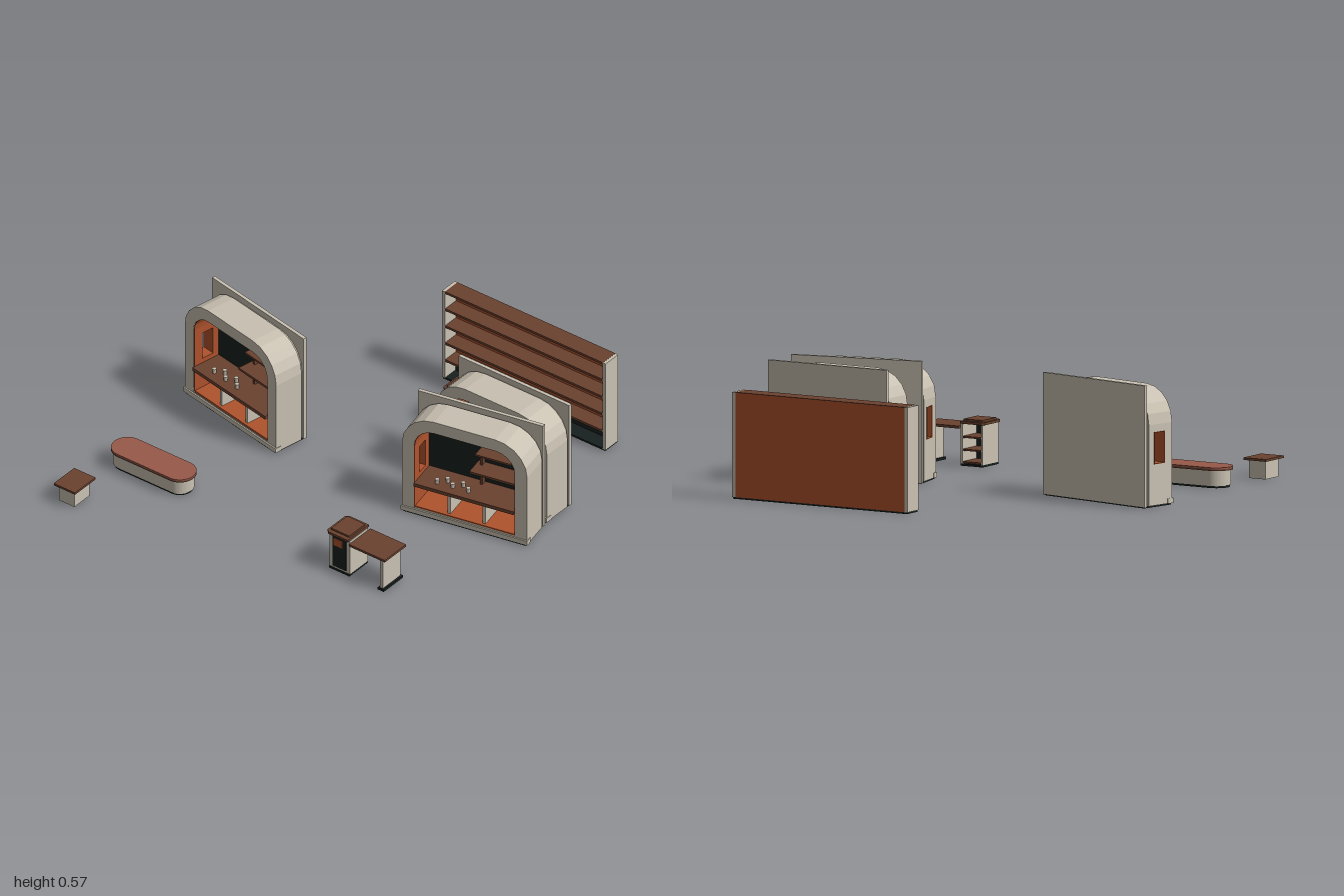
import * as THREE from 'three';

const mat = (name, color, extra = {}) => Object.assign(new THREE.MeshStandardMaterial({ color, ...extra }), { name });

export function createModel() {
  const stone = mat('stone', 0xc9c1b2);
  const brown = mat('brown wood', 0x6b4230);
  const orange = mat('orange lining', 0xb0532d);
  const dark = mat('dark base', 0x18211f);
  const clay = mat('clay top', 0x985a4b);

  const root = new THREE.Group();
  root.name = 'shopFurniture';

  const add = (g, name, geo, m) => {
    const mesh = new THREE.Mesh(geo, m);
    mesh.name = name;
    g.add(mesh);
    return mesh;
  };
  // box given by its minimum and maximum corners
  const box = (g, name, m, x0, x1, y0, y1, z0, z1) => {
    const mesh = add(g, name, new THREE.BoxGeometry(x1 - x0, y1 - y0, z1 - z0), m);
    mesh.position.set((x0 + x1) / 2, (y0 + y1) / 2, (z0 + z1) / 2);
    return mesh;
  };
  const group = (name, x, z, turn = 0) => {
    const g = new THREE.Group();
    g.name = name;
    g.position.set(x, 0, z);
    g.rotation.y = turn;
    root.add(g);
    return g;
  };
  const extrude = (shape, depth) => new THREE.ExtrudeGeometry(shape, { depth, bevelEnabled: false, curveSegments: 5 });

  // points of a round-shouldered arch, from one foot over the top to the other
  const SPRING = 0.385;
  const arch = (w, r, y0, y1) => {
    const pts = [new THREE.Vector2(-w, y0)];
    for (const [cx, start] of [[-w + r, Math.PI], [w - r, Math.PI / 2]]) {
      for (let i = 0; i <= 5; i++) {
        const a = start - (i / 5) * Math.PI / 2;
        pts.push(new THREE.Vector2(cx + r * Math.cos(a), SPRING + r * Math.sin(a)));
      }
    }
    if (y1 < SPRING) pts.push(new THREE.Vector2(w, y1));
    return pts;
  };
  // extrude an arch profile along x, starting at x0
  const alongX = (shape, x0, x1) => extrude(shape, x1 - x0).rotateY(Math.PI / 2).translate(x0, 0, 0);
  const band = (outer, inner) => new THREE.Shape([...outer, ...inner.reverse()]);

  const rect = (x0, x1, y0, y1) => [[x0, y0], [x1, y0], [x1, y1], [x0, y1]].map(p => new THREE.Vector2(...p));
  const rectWithHole = (o, h) => {
    const s = new THREE.Shape(rect(...o));
    s.holes.push(new THREE.Path(rect(...h)));
    return s;
  };

  function displayCabinet(name, x, z, turn) {
    const g = group(name, x, z, turn);
    const b = 0.008;
    box(g, 'plinth', dark, -0.09, 0.09, 0, b, -0.315, 0.315);
    // front frame
    const face = new THREE.Shape(arch(0.322, 0.165, b, b));
    face.holes.push(new THREE.Path(arch(0.26, 0.103, 0.04, 0.04)));
    add(g, 'frontFrame', alongX(face, -0.09, -0.06), stone);
    box(g, 'frontSill', stone, -0.097, -0.06, b, 0.032, -0.325, 0.325);
    // curved shell and lining, leaving out the wall with the window
    add(g, 'archShell', alongX(band(arch(0.322, 0.165, b, SPRING), arch(0.26, 0.103, b, SPRING)), -0.06, 0.065), stone);
    add(g, 'archLining', alongX(band(arch(0.26, 0.103, 0.04, SPRING), arch(0.257, 0.1, 0.04, SPRING)), -0.088, 0.06), orange);
    // end wall with window
    const hole = [-0.04, 0.03, 0.2, 0.35];
    add(g, 'windowWall', extrude(rectWithHole([-0.06, 0.065, b, SPRING], hole), 0.062).translate(0, 0, -0.322), stone);
    add(g, 'windowWallLining', extrude(rectWithHole([-0.088, 0.06, 0.04, SPRING], hole), 0.003).translate(0, 0, -0.26), orange);
    add(g, 'windowReveal', extrude(rectWithHole(hole, [-0.037, 0.027, 0.203, 0.347]), 0.067).translate(0, 0, -0.324), orange);
    // back
    add(g, 'backSpacer', alongX(new THREE.Shape(arch(0.31, 0.155, b, b)), 0.065, 0.077), stone);
    box(g, 'backPanel', stone, 0.077, 0.095, 0.004, 0.572, -0.322, 0.322);
    add(g, 'innerBack', alongX(new THREE.Shape(arch(0.26, 0.103, 0.04, 0.04)), 0.06, 0.065), dark);
    // interior fittings
    box(g, 'floor', orange, -0.085, 0.06, 0.03, 0.043, -0.257, 0.257);
    box(g, 'counter', brown, -0.1, 0.06, 0.162, 0.18, -0.256, 0.256);
    for (const d of [-0.09, 0.09]) box(g, 'divider', stone, -0.07, 0.06, 0.043, 0.162, d - 0.008, d + 0.008);
    box(g, 'upperShelf', brown, -0.04, 0.06, 0.278, 0.29, 0, 0.256);
    box(g, 'topShelf', brown, -0.02, 0.06, 0.37, 0.38, 0.02, 0.2);
    box(g, 'shelfPost', brown, 0.03, 0.06, 0.18, 0.37, 0.02, 0.032);
    for (let i = 0; i < 5; i++) {
      add(g, 'cup', new THREE.CylinderGeometry(0.011, 0.009, 0.024, 10), stone)
        .position.set(-0.05 + (i % 2) * 0.03, 0.192, -0.16 + i * 0.04);
    }
  }
  displayCabinet('rearCabinet', 0.09, -0.667, -0.2);
  displayCabinet('angledCabinet', 0.09, 0.66, 0.2);
  displayCabinet('straightCabinet', 0.355, 0.633, 0);

  // long wall shelf
  const s = group('wallShelf', 0.927, 0.345);
  box(s, 'base', dark, -0.045, 0.046, 0, 0.01, -0.472, 0.472);
  box(s, 'back', orange, 0.035, 0.0475, 0.008, 0.494, -0.46, 0.46);
  box(s, 'lowerBack', dark, 0.03, 0.036, 0.01, 0.1, -0.46, 0.46);
  for (const e of [-1, 1]) {
    const c = e * 0.4675;
    box(s, 'endPanel', stone, -0.0475, 0.0475, 0.008, 0.496, c - 0.0085, c + 0.0085);
  }
  for (const y of [0.1, 0.196, 0.292, 0.388, 0.484]) {
    box(s, 'shelf', brown, -0.046, 0.036, y, y + 0.012, -0.46, 0.46);
  }
  box(s, 'topCover', brown, -0.047, 0.047, 0.488, 0.4965, -0.46, 0.46);

  // service desk: open cabinet at the back, lower table in front
  function serviceDesk(name, x, z) {
    const g = group(name, x, z);
    box(g, 'cabinetBase', dark, -0.072, 0.068, 0, 0.01, -0.16, -0.04);
    box(g, 'rearWall', stone, -0.068, 0.068, 0.01, 0.197, -0.16, -0.15);
    box(g, 'innerWall', stone, -0.068, 0.068, 0.01, 0.197, -0.05, -0.04);
    box(g, 'closedSide', stone, -0.068, -0.058, 0.01, 0.197, -0.15, -0.05);
    box(g, 'sidePanel', dark, -0.071, -0.068, 0.02, 0.19, -0.14, -0.06);
    box(g, 'sidePlate', orange, -0.074, -0.07, 0.14, 0.18, -0.13, -0.08);
    box(g, 'innerBack', dark, -0.058, -0.054, 0.01, 0.197, -0.15, -0.05);
    for (const y of [0.012, 0.07, 0.13]) box(g, 'shelf', brown, -0.054, 0.064, y, y + 0.008, -0.15, -0.05);
    // cabinet top with clipped rear corners
    const c = 0.014;
    const top = new THREE.Shape([[-0.081, 0.042], [0.077, 0.042], [0.077, 0.17 - c], [0.077 - c, 0.17], [-0.081 + c, 0.17], [-0.081, 0.17 - c]]
      .map(p => new THREE.Vector2(...p)));
    add(g, 'cabinetTop', extrude(top, 0.012).rotateX(-Math.PI / 2).translate(0, 0.197, 0), brown);
    box(g, 'topPlate', brown, -0.06, 0.06, 0.209, 0.218, -0.155, -0.05);
    // table
    box(g, 'tableTop', brown, -0.077, 0.083, 0.174, 0.186, -0.038, 0.17);
    box(g, 'tableLeg', stone, -0.066, 0.068, 0.01, 0.174, 0.135, 0.15);
    box(g, 'tableFoot', dark, -0.072, 0.074, 0, 0.012, 0.125, 0.16);
  }
  serviceDesk('leftDesk', 0.667, 0.264);
  serviceDesk('rightDesk', -0.553, 0.532);

  // round-ended low table
  const pill = (r, h) => {
    const p = new THREE.Shape();
    p.absarc(0, h - r, r, 0, Math.PI, false);
    p.absarc(0, r - h, r, Math.PI, 2 * Math.PI, false);
    return p;
  };
  const t = group('roundEndedTable', -0.543, -0.71);
  for (const [name, m, r, y0, y1] of [['base', dark, 0.062, 0, 0.01], ['body', stone, 0.067, 0.01, 0.082],
    ['rim', brown, 0.077, 0.082, 0.09], ['top', clay, 0.077, 0.09, 0.097]]) {
    const geo = new THREE.ExtrudeGeometry(pill(r, 0.152 + r), { depth: y1 - y0, bevelEnabled: false, curveSegments: 16 });
    add(t, name, geo.rotateX(-Math.PI / 2).translate(0, y0, 0), m);
  }

  // small side table
  const q = group('smallTable', -0.904, -0.892);
  box(q, 'body', stone, -0.06, 0.055, 0, 0.086, -0.045, 0.045);
  box(q, 'top', brown, -0.077, 0.077, 0.086, 0.097, -0.062, 0.062);

  return root;
}
